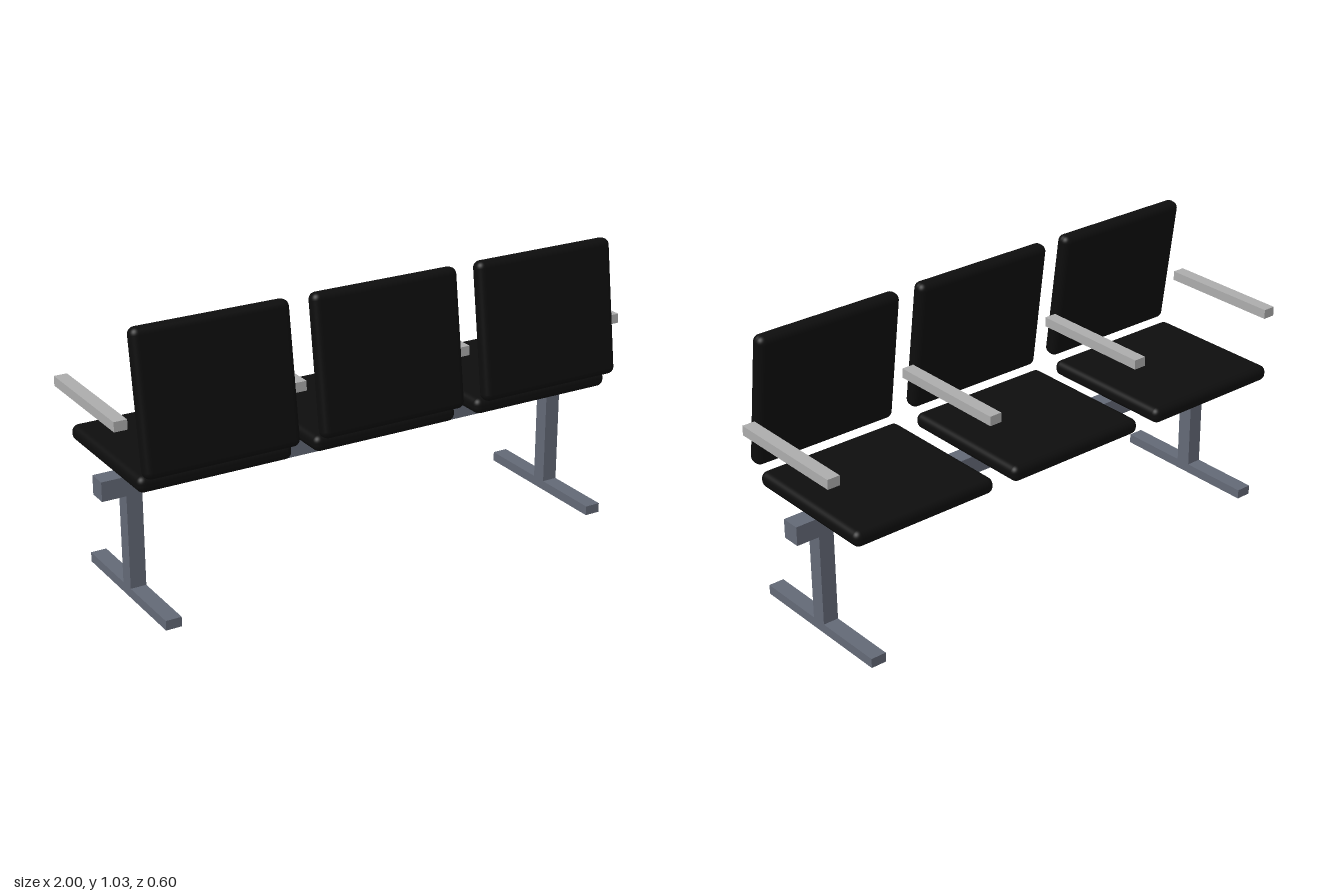
import * as THREE from 'three';
import { RoundedBoxGeometry } from 'three/addons/geometries/RoundedBoxGeometry.js';

function material(name, color) {
  const m = new THREE.MeshStandardMaterial({ color });
  m.name = name;
  return m;
}

export function createModel() {
  const model = new THREE.Group();
  model.name = 'threeSeatBench';
  const black = material('black upholstery', 0x0d0d0d);
  const steel = material('slate steel', 0x636976);
  const grey = material('light grey armrest', 0xacacac);

  const PITCH = 0.651; // spacing between neighbouring seats
  const MID_Z = 0.0065; // centre line of the frame

  function add(name, geometry, mat, x, y, z) {
    const mesh = new THREE.Mesh(geometry, mat);
    mesh.name = name;
    mesh.position.set(x, y, z);
    model.add(mesh);
    return mesh;
  }

  // Seat and backrest cushions
  const seatGeo = new RoundedBoxGeometry(0.566, 0.058, 0.546, 4, 0.025);
  const backGeo = new RoundedBoxGeometry(0.566, 0.497, 0.058, 4, 0.025);
  for (const i of [-1, 0, 1]) {
    add('seat', seatGeo, black, i * PITCH, 0.499, -0.029);
    const back = add('backrest', backGeo, black, i * PITCH, 0.783, 0.243);
    back.rotation.x = THREE.MathUtils.degToRad(-8);
  }

  // Armrests on either side of every seat
  const armGeo = new THREE.BoxGeometry(0.047, 0.035, 0.473);
  for (const i of [-1.5, -0.5, 0.5, 1.5]) {
    add('armrest', armGeo, grey, i * PITCH, 0.7125, -0.0185);
  }

  // Main beam under the seats
  add('beam', new THREE.BoxGeometry(1.954, 0.07, 0.07), steel, 0, 0.415, MID_Z);

  // Legs with floor runners
  const legGeo = new THREE.BoxGeometry(0.058, 0.345, 0.058);
  const footGeo = new THREE.BoxGeometry(0.058, 0.035, 0.592);
  for (const side of [-1, 1]) {
    add('leg', legGeo, steel, side * 0.858, 0.2075, MID_Z);
    add('foot', footGeo, steel, side * 0.858, 0.0175, MID_Z);
  }

  return model;
}
